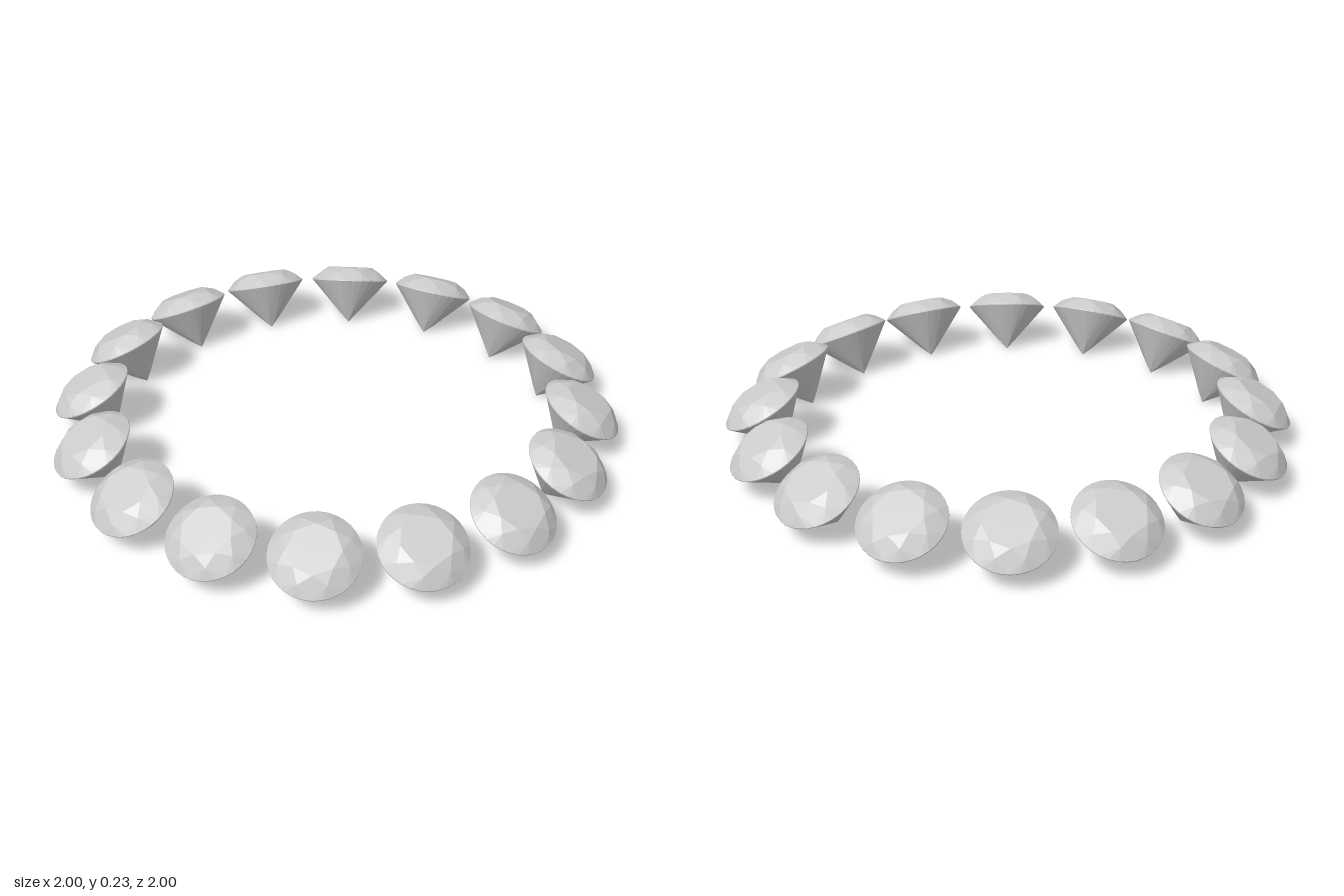
import * as THREE from 'three';

const COUNT = 16;        // gems in the ring
const RING = 0.868;      // ring radius to the girdle centres
const TILT = THREE.MathUtils.degToRad(28);
const R = 0.149;         // girdle radius
const TABLE = 0.087;     // table radius
const CROWN = 0.05;      // crown height
const DEPTH = 0.167;     // pavilion depth
const G = 0.002;         // half the girdle thickness

// Round brilliant cut: eight-sided table, stars, kites, girdle and pavilion facets
function brilliantGeometry() {
  const pos = [];
  const at = (turn, r, y) => {
    const a = turn * Math.PI / 4;
    return [r * Math.sin(a), y, r * Math.cos(a)];
  };
  const tri = (...points) => points.forEach((p) => pos.push(...p));

  // Heights that keep the kite facets flat
  const half = Math.cos(Math.PI / 8);
  const starR = 0.12, lowR = 0.034;
  const starY = G + (CROWN - G) * (R - starR * half) / (R - TABLE);
  const lowY = -DEPTH + (DEPTH - G) * lowR * half / R;

  const top = [0, CROWN, 0], culet = [0, -DEPTH, 0];
  for (let i = 0; i < 8; i++) {
    const t0 = at(i, TABLE, CROWN), t1 = at(i + 1, TABLE, CROWN);
    const s0 = at(i - 0.5, starR, starY), s1 = at(i + 0.5, starR, starY);
    const l0 = at(i - 0.5, lowR, lowY), l1 = at(i + 0.5, lowR, lowY);
    const up = at(i, R, G), down = at(i, R, -G);

    tri(top, t0, t1);                         // table
    tri(t0, s1, t1);                          // star
    tri(t0, s0, up, t0, up, s1);              // crown kite
    tri(culet, down, l0, culet, l1, down);    // pavilion kite

    // Facets beside the girdle, and the girdle itself
    for (let k = 0; k < 4; k++) {
      const a = i + k / 4, b = i + (k + 1) / 4;
      const ua = at(a, R, G), ub = at(b, R, G);
      const da = at(a, R, -G), db = at(b, R, -G);
      tri(s1, ua, ub);
      tri(da, db, ub, da, ub, ua);
      tri(l1, db, da);
    }
  }
  const geometry = new THREE.BufferGeometry();
  geometry.setAttribute('position', new THREE.Float32BufferAttribute(pos, 3));
  geometry.computeVertexNormals();
  return geometry;
}

export function createModel() {
  const model = new THREE.Group();
  model.name = 'gemRing';
  const geometry = brilliantGeometry();
  const material = new THREE.MeshStandardMaterial({ color: 0xcccccc, flatShading: true });

  // Gems spaced evenly, each leaning outward with its point toward the centre
  for (let i = 0; i < COUNT; i++) {
    const spoke = new THREE.Group();
    spoke.name = `gemHolder${i + 1}`;
    spoke.rotation.y = (i / COUNT) * Math.PI * 2;
    const gem = new THREE.Mesh(geometry, material);
    gem.name = `gem${i + 1}`;
    gem.position.set(0, DEPTH * Math.cos(TILT), RING);
    gem.rotation.x = TILT;
    spoke.add(gem);
    model.add(spoke);
  }
  return model;
}
